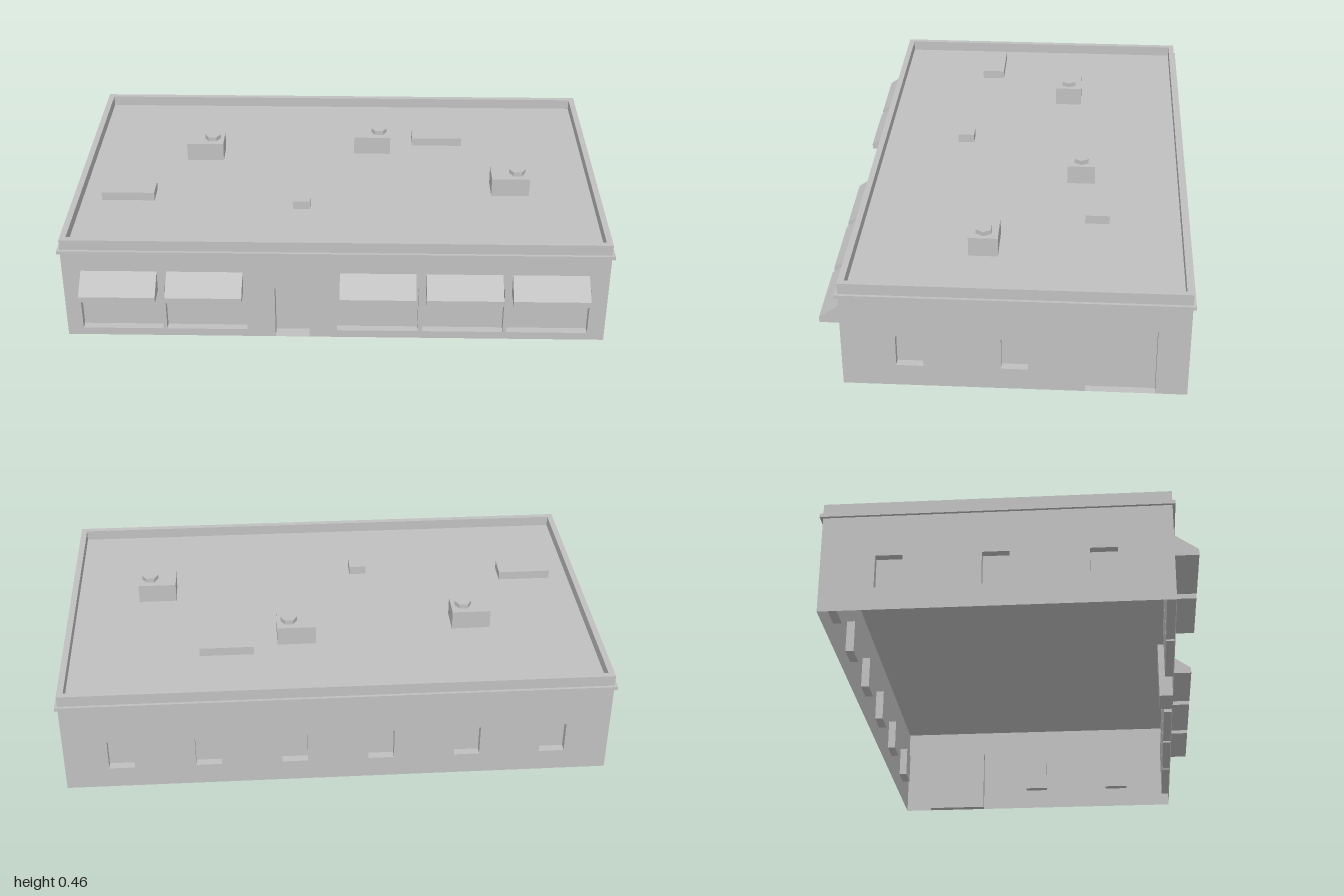
import * as THREE from 'three';

const grey = new THREE.MeshStandardMaterial({ color: 0xc0c0c0 });
grey.name = 'grey';
// Walls and recesses are single skins, seen from both sides
const greySkin = new THREE.MeshStandardMaterial({ color: 0xc0c0c0, side: THREE.DoubleSide });
greySkin.name = 'grey skin';

const X = 0.99, BACK = -0.627, FRONT = 0.556; // outer wall lines
const ZC = (BACK + FRONT) / 2, DEPTH = FRONT - BACK;
const ROOF = 0.37, TOP = 0.41;

function add(parent, name, geometry, material = grey) {
  const mesh = new THREE.Mesh(geometry, material);
  mesh.name = name;
  parent.add(mesh);
  return mesh;
}

function box(parent, name, w, h, d, x, y, z) {
  return add(parent, name, new THREE.BoxGeometry(w, h, d).translate(x, y + h / 2, z));
}

// Rectangular ring around the building; offsets are measured from the wall line
function ring(parent, name, outer, inner, y0, y1) {
  const corners = (o) => [[-1, -1], [1, -1], [1, 1], [-1, 1]].map(
    ([a, b]) => new THREE.Vector2(a * (X + o), b * (DEPTH / 2 + o)));
  const shape = new THREE.Shape(corners(outer));
  shape.holes.push(new THREE.Path(corners(inner)));
  const g = new THREE.ExtrudeGeometry(shape, { depth: y1 - y0, bevelEnabled: false });
  add(parent, name, g.rotateX(-Math.PI / 2).translate(0, y0, ZC));
}

// Wall in its own plane; openings are listed left to right
function wall(parent, name, u0, u1, openings) {
  const group = new THREE.Group();
  group.name = name;
  parent.add(group);
  const shape = new THREE.Shape().moveTo(u0, 0);
  for (const { kind, u, w, y0, y1, d } of openings) {
    const a = u - w / 2, b = u + w / 2;
    if (y0 === 0) {
      shape.lineTo(a, 0).lineTo(a, y1).lineTo(b, y1).lineTo(b, 0);
    } else {
      shape.holes.push(new THREE.Path().moveTo(a, y0).lineTo(a, y1).lineTo(b, y1).lineTo(b, y0).closePath());
    }
    // Recess: a box without its outer face
    const g = new THREE.BoxGeometry(w, y1 - y0, d).translate(u, (y0 + y1) / 2, -d / 2);
    const index = Array.from(g.index.array);
    index.splice(24, 6);
    g.setIndex(index);
    g.clearGroups();
    add(group, kind, g, greySkin);
  }
  shape.lineTo(u1, 0).lineTo(u1, ROOF).lineTo(u0, ROOF).closePath();
  add(group, name + 'Panel', new THREE.ShapeGeometry(shape), greySkin);
  return group;
}

const smallWindow = (u) => ({ kind: 'window', u, w: 0.093, y0: 0.083, y1: 0.203, d: 0.03 });
const shopWindow = (u) => ({ kind: 'shopWindow', u, w: 0.297, y0: 0.03, y1: 0.22, d: 0.03 });

export function createModel() {
  const model = new THREE.Group();
  model.name = 'shopBuilding';

  // Walls
  const shopX = [-0.784, -0.473, 0.155, 0.468, 0.779];
  const door = { kind: 'frontDoor', u: -0.158, w: 0.125, y0: 0, y1: 0.212, d: 0.05 };
  const front = wall(model, 'frontWall', -X, X,
    [...shopX.slice(0, 2).map(shopWindow), door, ...shopX.slice(2).map(shopWindow)]);
  front.position.z = FRONT;

  const back = wall(model, 'backWall', -X, X,
    [-2.5, -1.5, -0.5, 0.5, 1.5, 2.5].map((i) => smallWindow(i * 0.314)));
  back.rotation.y = Math.PI;
  back.position.z = BACK;

  const loadingDoor = { kind: 'loadingDoor', u: 0.397, w: 0.24, y0: 0, y1: 0.258, d: 0.03 };
  const leftWall = wall(model, 'leftWall', -FRONT, -BACK,
    [smallWindow(-0.323), smallWindow(0.036), loadingDoor]);
  leftWall.rotation.y = Math.PI / 2;
  leftWall.position.x = X;

  const rightWall = wall(model, 'rightWall', BACK, FRONT, [-0.395, -0.036, 0.323].map(smallWindow));
  rightWall.rotation.y = -Math.PI / 2;
  rightWall.position.x = -X;

  // Roof, parapet and cornice
  add(model, 'roof', new THREE.PlaneGeometry(2 * X, DEPTH).rotateX(-Math.PI / 2).translate(0, ROOF, ZC), greySkin);
  ring(model, 'parapet', 0, -0.022, ROOF, TOP);
  ring(model, 'cornice', 0.01, 0, 0.356, 0.369);

  // Awnings: a side profile extruded along x
  const profile = new THREE.Shape([[0, 0.2], [0.084, 0.2], [0.084, 0.222], [0, 0.281]]
    .map(([z, y]) => new THREE.Vector2(-z, y)));
  for (const x of shopX) {
    const g = new THREE.ExtrudeGeometry(profile, { depth: 0.276, bevelEnabled: false });
    add(model, 'awning', g.translate(0, 0, -0.138).rotateY(Math.PI / 2).translate(x, 0, FRONT));
  }

  // Ventilation units with hexagonal fans
  for (const [x, z] of [[-0.53, -0.174], [0.133, -0.24], [0.659, 0.089]]) {
    const unit = new THREE.Group();
    unit.name = 'ventilationUnit';
    unit.position.set(x, ROOF, z);
    model.add(unit);
    box(unit, 'unitBody', 0.144, 0.072, 0.104, 0, 0, 0);
    const fan = new THREE.CylinderGeometry(0.031, 0.031, 0.017, 6).toNonIndexed();
    fan.computeVertexNormals();
    add(unit, 'fan', fan.rotateY(Math.PI / 6).translate(0.027, 0.0805, 0));
  }

  // Skylights and roof hatch
  box(model, 'skylight', 0.2, 0.033, 0.088, -0.793, ROOF, 0.156);
  box(model, 'skylight', 0.2, 0.033, 0.088, 0.394, ROOF, -0.305);
  box(model, 'roofHatch', 0.065, 0.033, 0.063, -0.133, ROOF, 0.222);

  return model;
}
